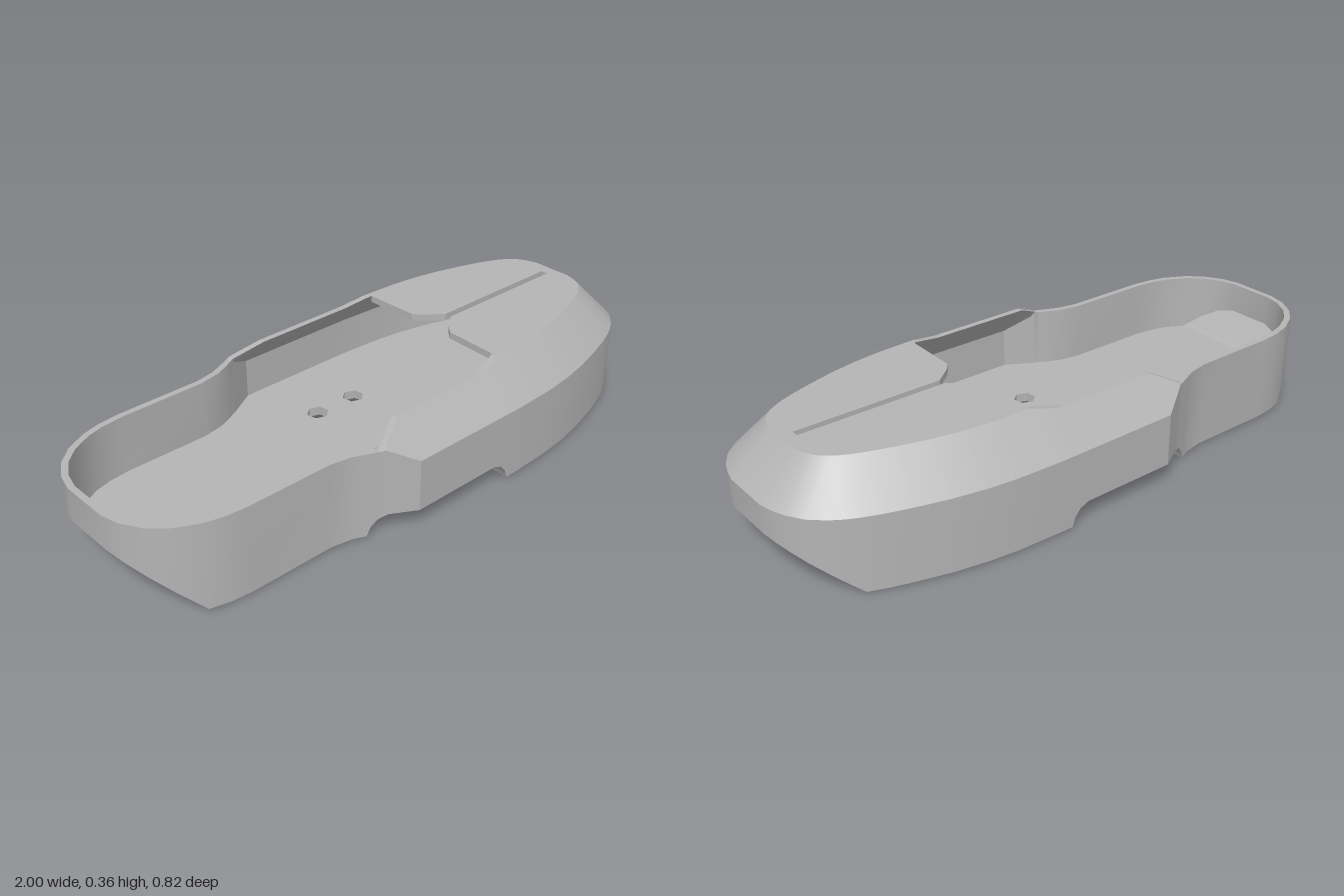
import * as THREE from 'three';
import { toCreasedNormals } from 'three/addons/utils/BufferGeometryUtils.js';

// Piecewise-linear lookup in a list of [x, value] pairs
function lookup(table, x) {
  for (let i = 1; i < table.length; i++) {
    const [x0, v0] = table[i - 1], [x1, v1] = table[i];
    if (x <= x1) return v0 + (v1 - v0) * (x - x0) / (x1 - x0);
  }
  return table[table.length - 1][1];
}

// Half width of the plan outline, heel (-x) to toe (+x)
const WIDTH = [[-1, 0.08], [-0.985, 0.14], [-0.95, 0.2], [-0.9, 0.247], [-0.83, 0.284], [-0.77, 0.3],
  [-0.7, 0.307], [-0.42, 0.307], [-0.35, 0.32], [-0.26, 0.36], [-0.17, 0.412], [0.25, 0.412], [0.4, 0.405],
  [0.5, 0.393], [0.6, 0.373], [0.7, 0.345], [0.77, 0.322], [0.83, 0.298], [0.865, 0.28], [0.9, 0.257],
  [0.945, 0.215], [0.975, 0.165], [0.99, 0.125], [1, 0.08]];
// Underside: bevelled ends and a raised arch in the middle
const BASE = 0.006;
const BOTTOM = [[-1, 0.18], [-0.83, BASE], [-0.31, BASE], [-0.3, 0.035], [-0.28, 0.058], [-0.25, 0.07],
  [0.15, 0.07], [0.18, 0.058], [0.2, 0.035], [0.21, BASE], [0.83, BASE], [1, 0.15]];
// Height of the rim
const TOP = [[-1, 0.29], [-0.27, 0.29], [-0.17, 0.34], [0.17, 0.34], [0.27, 0.36], [1, 0.36]];
// Inner floor with ramps at both ends
const FLOOR = [[-1, 0.209], [-0.897, 0.1], [0.913, 0.1], [1, 0.177]];

const SHOULDER = 0.24, WALL = 0.02, SLAB = 0.15;

const xs = [...new Set([...WIDTH, ...BOTTOM, ...TOP].map(p => p[0]).concat([-SLAB, 0.28]))].sort((a, b) => a - b);

// Closed outline: the left side from heel to toe, then the right side back
function makeOutline() {
  const left = xs.map(x => new THREE.Vector2(x, lookup(WIDTH, x)));
  const right = left.map(p => new THREE.Vector2(p.x, -p.y)).reverse();
  return [...left, ...right];
}

// Section around the wall at each outline point, from outer bottom to inner floor
function makeSections(outline) {
  const n = outline.length;
  return outline.map((p, i) => {
    const tangent = outline[(i + 1) % n].clone().sub(p).normalize()
      .add(p.clone().sub(outline[(i + n - 1) % n]).normalize()).normalize();
    let out = new THREE.Vector2(-tangent.y, tangent.x);
    if (p.x > -0.3 && p.x <= 0.25) out = new THREE.Vector2(0, Math.sign(p.y));
    const top = lookup(TOP, p.x);
    const extra = p.x < 0.25 ? 0.412 - Math.abs(p.y) : 0;
    const shoulder = Math.min(top, SHOULDER + extra);
    const at = (inset, y) => new THREE.Vector3(p.x - out.x * inset, y, p.y - out.y * inset);
    const rise = top - shoulder;
    const foot = at(WALL, 0);
    foot.y = lookup(FLOOR, foot.x);
    return [at(0, lookup(BOTTOM, p.x)), at(0, shoulder), at(rise, top), at(rise + WALL, top),
      at(WALL, shoulder - Math.min(0.01, rise)), foot];
  });
}

function fromQuads(quads) {
  const pos = [];
  for (const [a, b, c, d] of quads) for (const v of [a, b, c, a, c, d]) pos.push(v.x, v.y, v.z);
  const g = new THREE.BufferGeometry();
  g.setAttribute('position', new THREE.Float32BufferAttribute(pos, 3));
  return toCreasedNormals(g, 0.45);
}

// Flat plate from plan points (x, z), between two heights
function plate(points, y0, y1, holes = []) {
  const flip = list => list.map(p => new THREE.Vector2(p.x, -p.y));
  const shape = new THREE.Shape(flip(points));
  for (const h of holes) shape.holes.push(new THREE.Path(flip(h)));
  const g = new THREE.ExtrudeGeometry(shape, { depth: y1 - y0, bevelEnabled: false });
  return g.rotateX(-Math.PI / 2).translate(0, y0, 0);
}

export function createModel() {
  const group = new THREE.Group();
  const grey = new THREE.MeshStandardMaterial({ color: 0xb4b4b4, side: THREE.DoubleSide });
  grey.name = 'grey plastic';
  const add = (name, geometry) => {
    const mesh = new THREE.Mesh(geometry, grey);
    mesh.name = name;
    group.add(mesh);
  };
  const v2 = (x, z) => new THREE.Vector2(x, z);

  const sections = makeSections(makeOutline());
  const n = sections.length, half = n / 2;

  // Side wall with its chamfered shoulder, rim and inner face
  const wall = [];
  for (let i = 0; i < n; i++) {
    const a = sections[i], b = sections[(i + 1) % n];
    for (let k = 0; k < 5; k++) wall.push([a[k], b[k], b[k + 1], a[k + 1]]);
  }
  add('sideWall', fromQuads(wall));

  // Underside and inner floor, left open for the drilled slab
  const under = [], floor = [];
  for (let i = 0; i < half - 1; i++) {
    if (xs[i] >= -SLAB && xs[i + 1] <= SLAB) continue;
    const l0 = sections[i], l1 = sections[i + 1], r0 = sections[n - 1 - i], r1 = sections[n - 2 - i];
    under.push([r0[0], r1[0], l1[0], l0[0]]);
    floor.push([l0[5], l1[5], r1[5], r0[5]]);
  }
  add('underside', fromQuads(under));
  add('innerFloor', fromQuads(floor));

  // Slab with four bolt holes
  const holes = [];
  for (const x of [-0.07, 0.083]) for (const z of [-0.155, 0.155]) {
    holes.push(Array.from({ length: 6 }, (_, k) => {
      const a = k * Math.PI / 3 + 0.35;
      return v2(x + 0.036 * Math.cos(a), z + 0.036 * Math.sin(a));
    }));
  }
  add('drilledSlab', plate([v2(-SLAB, -0.411), v2(SLAB, -0.411), v2(SLAB, 0.411), v2(-SLAB, 0.411)], 0.07, 0.1, holes));

  // Toe cap with a flared slit along the middle
  const rim = [];
  sections.forEach((s, i) => {
    if (xs[i < half ? i : n - 1 - i] >= 0.28) rim.push(v2(s[3].x, s[3].z));
  });
  const slit = [[0.28, 0.085], [0.305, 0.055], [0.36, 0.012], [0.84, 0.012]];
  add('toeCap', plate([...rim, ...slit.map(([x, z]) => v2(x, -z)),
    ...slit.map(([x, z]) => v2(x, z)).reverse()], 0.338, 0.36));

  // Zigzag tread ribs under heel and toe
  const zigzag = x => {
    const near = [], far = [];
    for (let k = 0; k <= 8; k++) {
      const z = -0.27 + k * 0.0675, px = x + (k % 2 ? 0.03 : -0.03);
      near.push(v2(px - 0.022, z));
      far.unshift(v2(px + 0.022, z));
    }
    return plate([...near, ...far], 0, BASE + 0.002);
  };
  for (const [start, end] of [[-0.76, -0.37], [0.27, 0.77]]) {
    for (let x = start; x <= end; x += 0.06) add('treadRib', zigzag(x));
  }
  return group;
}
